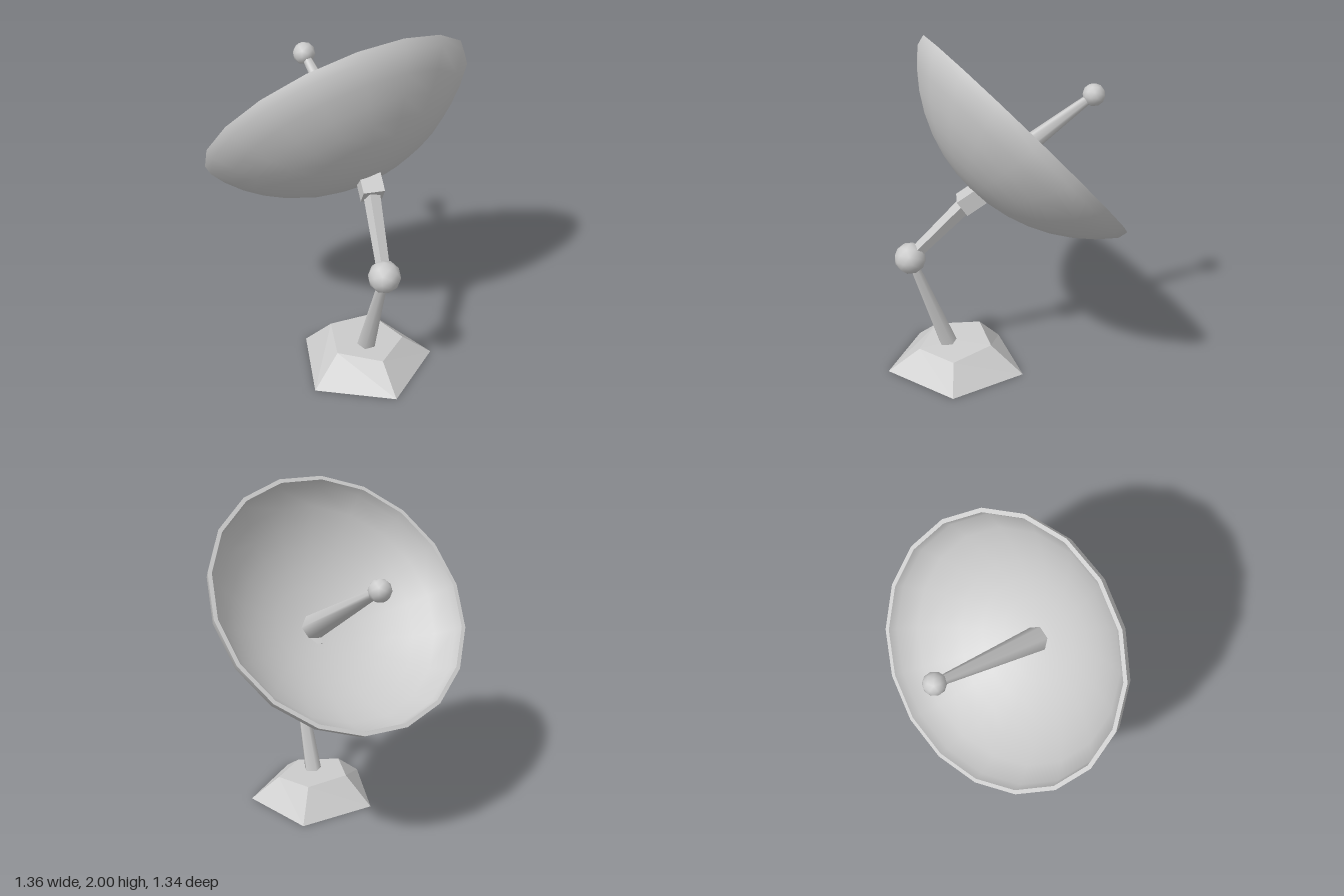
import * as THREE from 'three';
import { toCreasedNormals } from 'three/addons/utils/BufferGeometryUtils.js';

const flat = new THREE.MeshStandardMaterial({ color: 0xcccccc, flatShading: true });
const smooth = new THREE.MeshStandardMaterial({ color: 0xcccccc });
const open = new THREE.MeshStandardMaterial({ color: 0xcccccc, flatShading: true, side: THREE.DoubleSide });
const V = (x, y, z) => new THREE.Vector3(x, y, z);

function add(parent, name, geometry, material, position = V(0, 0, 0)) {
  const mesh = new THREE.Mesh(geometry, material);
  mesh.name = name;
  mesh.position.copy(position);
  parent.add(mesh);
  return mesh;
}

// Tapered strut from a to b
function strut(parent, name, a, b, ra, rb, sides, material) {
  const d = b.clone().sub(a);
  const mesh = add(parent, name, new THREE.CylinderGeometry(rb, ra, d.length(), sides), material,
    a.clone().lerp(b, 0.5));
  mesh.quaternion.setFromUnitVectors(V(0, 1, 0), d.normalize());
}

export function createModel() {
  const model = new THREE.Group();
  model.name = 'satelliteDish';

  const foot = V(0.24, 0.12, 0.374);
  const elbow = V(0.36, 0.72, 0.545);
  const mount = V(0.232, 1.085, 0.218);
  const rimCentre = V(0.004, 1.413, -0.015);
  const feedTip = V(-0.236, 1.6, -0.338);
  const axis = V(-0.504, 0.66, -0.557).normalize();

  // Five-sided base, open underneath, with a slightly sloping top
  const baseProfile = [[0.389, 0], [0.22, 0.148], [0, 0.148]].map(([x, y]) => new THREE.Vector2(x, y));
  const baseGeo = new THREE.LatheGeometry(baseProfile, 5, Math.PI);
  const p = baseGeo.attributes.position;
  for (let i = 0; i < p.count; i++) {
    if (p.getY(i) > 0.1) p.setY(i, p.getY(i) - 0.1 * p.getX(i) - 0.04 * p.getZ(i));
    else p.setZ(i, p.getZ(i) * 1.07);
  }
  add(model, 'base', baseGeo, open, V(0.229, 0, 0.333));

  // Jointed arm
  strut(model, 'lowerArm', foot, elbow, 0.054, 0.025, 5, smooth);
  add(model, 'elbowBall', new THREE.IcosahedronGeometry(0.09, 1), smooth, elbow);
  strut(model, 'upperArm', elbow, mount, 0.036, 0.048, 4, flat);

  // Mounting block behind the reflector
  const block = add(model, 'mountBlock', new THREE.BoxGeometry(0.12, 0.1, 0.13), flat, mount);
  block.lookAt(mount.clone().add(V(-0.33, 0.57, -0.75)));

  // Dish, its local y along the dish axis
  const dish = new THREE.Group();
  dish.name = 'dish';
  const side = V(0, 1, 0).cross(axis).normalize();
  dish.quaternion.setFromRotationMatrix(
    new THREE.Matrix4().makeBasis(side, axis, side.clone().cross(axis)));
  dish.position.copy(rimCentre);
  model.add(dish);

  // Spherical bowl with a short steep wall below the rim, outer skin then inner skin
  const wall = 0.055, steps = 7;
  const bowl = (rim, edge, depth) => {
    const ball = (edge * edge + depth * depth) / (2 * depth);
    const points = Array.from({ length: steps + 1 }, (_, i) => {
      const a = Math.asin(edge / ball) * i / steps;
      return new THREE.Vector2(ball * Math.sin(a), ball - depth - wall - ball * Math.cos(a));
    });
    return [...points, new THREE.Vector2(rim, 0)];
  };
  const shell = [...bowl(0.784, 0.77, 0.37), ...bowl(0.76, 0.746, 0.35).reverse()];
  const shellGeo = new THREE.LatheGeometry(shell, 18, Math.PI / 33);
  add(dish, 'reflector', toCreasedNormals(shellGeo, 0.7), smooth);

  // Feed horn and receiver ball
  strut(model, 'feedHorn', V(0.202, 1.166, 0.197), feedTip, 0.075, 0.024, 6, smooth);
  add(model, 'receiverBall', new THREE.IcosahedronGeometry(0.065, 1), smooth, feedTip);

  return model;
}
